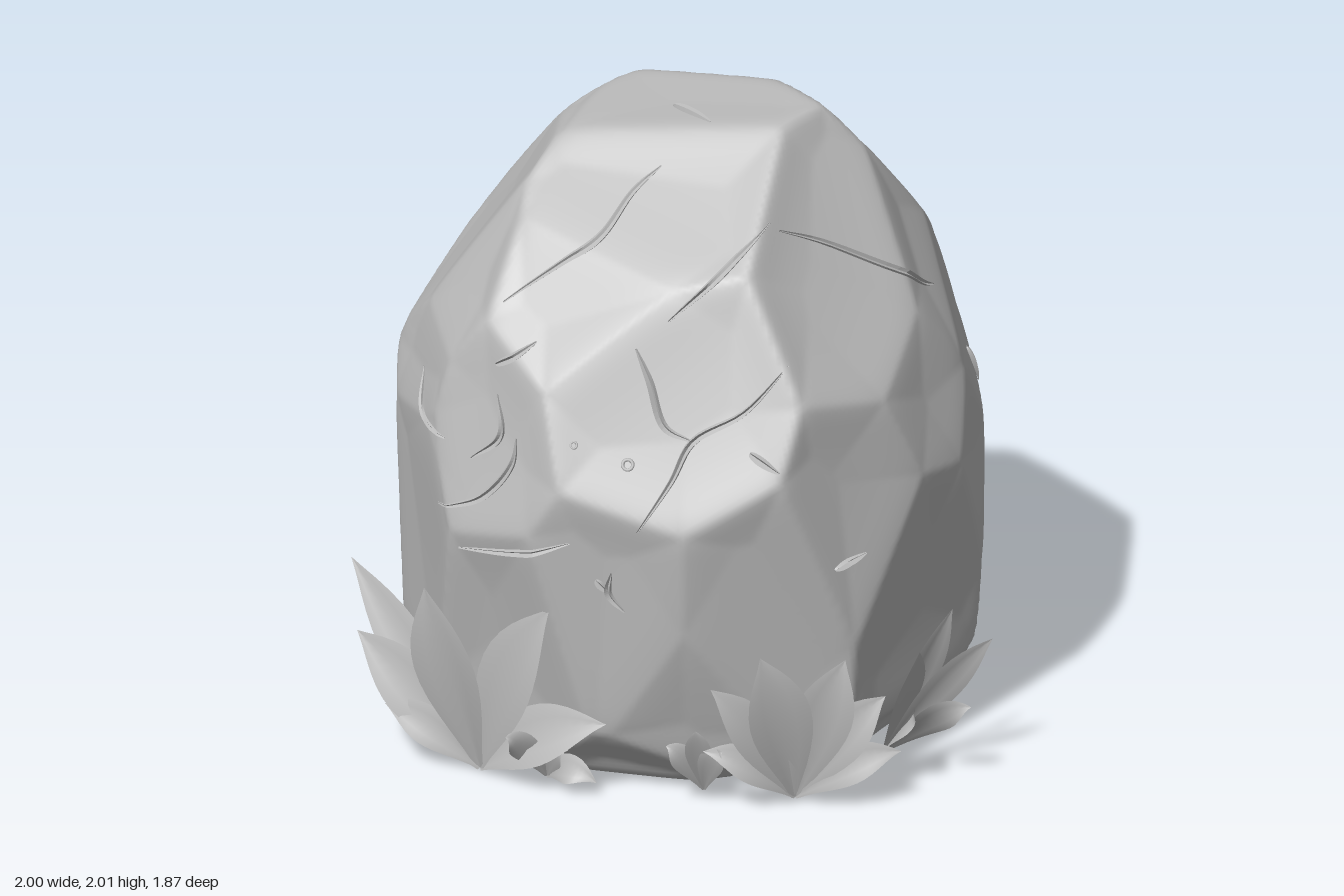
import * as THREE from 'three';
import { mergeVertices } from 'three/addons/utils/BufferGeometryUtils.js';

const V = (x, y, z) => new THREE.Vector3(x, y, z);
const CENTRE = V(-0.05, 0.95, 0);

// Facet planes that chip the boulder: { normal, distance from CENTRE, scoop depth }
const planes = [];
function facet(p, n, scoop = 0.03) {
  const normal = V(...n).normalize();
  planes.push({ normal, dist: normal.dot(V(...p).sub(CENTRE)), scoop });
}
// Rings of facets round the sides and back: height, radius, upward slope, azimuths
const rings = [
  [0.15, 0.81, -0.8, [0, 36, 74, 105, 140, 180, 216, 250, 288, 324]],
  [0.5, 0.88, -0.08, [72, 113]],
  [0.5, 0.885, -0.03, [155, 200, 243, 280]],
  [0.82, 0.92, 0.08, [93, 133, 178, 222, 262, 305]],
  [1.15, 0.865, 0.28, [76, 108, 143, 178, 215, 258, 297]],
  [1.4, 0.79, 0.5, [92, 160, 197, 237, 276]],
  [1.6, 0.67, 0.82, [138, 190, 238]],
  [1.88, 0.43, 1.5, [180, 265]],
];
for (const [y, r, slope, angles] of rings) {
  for (const a of angles) {
    const s = Math.sin(a * Math.PI / 180), c = Math.cos(a * Math.PI / 180);
    facet([CENTRE.x + r * s, y, CENTRE.z + r * c], [s, slope, c]);
  }
}
// Underside, crown, and the individual facets of the front and upper left
facet([0, 0.055, 0], [0, -1, -0.055], 0);
facet([0.3, 2.01, 0], [-0.1, 1, 0], 0.01);
[
  [[0, 1.855, 0.31], [-0.05, 0.82, 0.57]],
  [[0.56, 1.63, 0.16], [0.72, 0.56, 0.38]],
  [[-0.28, 1.6, 0.59], [-0.15, 0.65, 0.75]],
  [[-0.68, 1.58, 0], [-0.83, 0.58, 0.05]],
  [[-0.7, 1.45, 0.38], [-0.75, 0.5, 0.42]],
  [[0.15, 1.28, 0.78], [0.12, 0.42, 0.9]],
  [[-0.55, 1.1, 0.73], [-0.5, 0.22, 0.84]],
  [[0.67, 1.05, 0.53], [0.8, 0.12, 0.55]],
  [[-0.05, 0.75, 0.91], [-0.02, -0.1, 1]],
  [[0.42, 0.75, 0.8], [0.42, -0.1, 0.9]],
  [[-0.42, 0.5, 0.79], [-0.42, -0.2, 0.9]],
  [[0.25, 0.4, 0.83], [0.22, -0.25, 0.95]],
  [[-0.8, 0.6, 0.44], [-0.85, -0.04, 0.5]],
].forEach(([p, n]) => facet(p, n));

// Distance from CENTRE to the rock: softly joined facets, each scooped away from its edges
function radius(dir) {
  let r1 = 9, r2 = 9, depth = 0, sum = 0;
  for (const { normal, dist, scoop } of planes) {
    const k = normal.dot(dir);
    if (k < 0.05) continue;
    const t = dist / k;
    sum += Math.pow(t, -70);
    if (t < r1) { r2 = r1; r1 = t; depth = scoop; } else if (t < r2) r2 = t;
  }
  return Math.pow(sum, -1 / 70) - depth * (1 - Math.exp((r1 - r2) / 0.08));
}

function buildBoulder(material) {
  let g = new THREE.IcosahedronGeometry(1, 66);
  g.deleteAttribute('uv');
  g.deleteAttribute('normal');
  g = mergeVertices(g, 1e-5);
  const pos = g.attributes.position, d = V(0, 0, 0);
  for (let i = 0; i < pos.count; i++) {
    d.fromBufferAttribute(pos, i).normalize();
    d.multiplyScalar(radius(d)).add(CENTRE);
    pos.setXYZ(i, d.x, d.y, d.z);
  }
  g.computeVertexNormals();
  const mesh = new THREE.Mesh(g, material);
  mesh.name = 'boulder';
  return mesh;
}

// Find the rock surface by moving a point out along one axis
function project(p, axis, lift) {
  let lo = 0, hi = 1.3;
  const at = t => p.clone().addScaledVector(axis, t);
  for (let i = 0; i < 24; i++) {
    const mid = (lo + hi) / 2, q = at(mid).sub(CENTRE), len = q.length();
    if (len < radius(q.normalize())) lo = mid; else hi = mid;
  }
  return at(lo + lift);
}

// Strip or blade surface from rows of points
function gridGeometry(rows) {
  const pts = [], index = [], w = rows[0].length;
  rows.forEach((row, i) => row.forEach((p, j) => {
    pts.push(p.x, p.y, p.z);
    if (i && j) {
      const a = (i - 1) * w + j - 1, b = a + w;
      index.push(a, a + 1, b, a + 1, b + 1, b);
    }
  }));
  const g = new THREE.BufferGeometry();
  g.setAttribute('position', new THREE.Float32BufferAttribute(pts, 3));
  g.setIndex(index);
  g.computeVertexNormals();
  return g;
}

// Tapered V-shaped crack between two thin lips, laid on the rock along a flat path
function crack(path, toPoint, axis, material) {
  const curve = new THREE.CatmullRomCurve3(path.map(p => toPoint(...p)));
  const section = [[-1.3, 0], [-1, 1], [0, 0.1], [1, 1], [1.3, 0]];
  const rows = [], n = 24;
  for (let i = 0; i <= n; i++) {
    const t = i / n, side = curve.getTangent(t).cross(axis).normalize();
    const half = 0.002 + 0.007 * Math.sin(Math.PI * t);
    const p = curve.getPoint(t);
    rows.push(section.map(([s, h]) =>
      project(p.clone().addScaledVector(side, s * half), axis, 0.001 + h * 1.6 * half)));
  }
  const g = gridGeometry(rows).toNonIndexed();
  g.computeVertexNormals();
  const mesh = new THREE.Mesh(g, material);
  mesh.name = 'crack';
  return mesh;
}

// Pointed, folded leaf arching from base to tip
function leaf(base, tip, width, out, material) {
  const mid = base.clone().lerp(tip, 0.5).addScaledVector(out, 0.05).add(V(0, 0.07, 0));
  const curve = new THREE.QuadraticBezierCurve3(base, mid, tip);
  const rows = [];
  for (let i = 0; i <= 12; i++) {
    const t = i / 12, p = curve.getPoint(t), tan = curve.getTangent(t);
    const side = tan.clone().cross(out).normalize(), face = side.clone().cross(tan).normalize();
    const half = width / 2 * (0.12 * (1 - t) + Math.pow(Math.sin(Math.PI * t), 1.15));
    rows.push([-1, -0.5, 0, 0.5, 1].map(s => p.clone()
      .addScaledVector(side, s * half)
      .addScaledVector(face, half * (0.3 * Math.abs(s) - 0.15 * s * s))));
  }
  const mesh = new THREE.Mesh(gridGeometry(rows), material);
  mesh.name = 'leaf';
  return mesh;
}

export function createModel() {
  const grey = new THREE.MeshStandardMaterial({ color: 0xbcbcbc, side: THREE.DoubleSide });
  grey.name = 'stone grey';

  const model = new THREE.Group();
  model.name = 'boulderWithPlants';
  model.add(buildBoulder(grey));

  // Cracks on the front, the side and the crown
  const cracks = new THREE.Group();
  cracks.name = 'cracks';
  const X = V(1, 0, 0), Y = V(0, 1, 0), Z = V(0, 0, 1);
  const onFront = (x, y) => V(x, y, 0), onSide = (z, y) => V(0.1, y, z), onTop = (x, z) => V(x, 0.95, z);
  [
    [[-0.48, 1.53], [-0.3, 1.66], [-0.2, 1.73], [-0.14, 1.82], [-0.07, 1.88]],
    [[0.06, 1.55], [0.2, 1.68], [0.31, 1.79]],
    [[0.03, 0.95], [0.12, 1.1], [0.17, 1.21], [0.32, 1.3], [0.44, 1.44]],
    [[0.17, 1.21], [0.08, 1.25], [0.02, 1.38], [-0.03, 1.47]],
    [[0.35, 1.19], [0.45, 1.14]],
    [[-0.67, 0.86], [-0.5, 0.95], [-0.4, 1.08], [-0.39, 1.16]],
    [[-0.58, 0.76], [-0.35, 0.82], [-0.19, 0.88]],
    [[-0.48, 1.36], [-0.35, 1.45]],
    [[-0.78, 1.2], [-0.76, 1.1], [-0.65, 1.08]],
    [[-0.47, 1.27], [-0.45, 1.15], [-0.55, 1.05]],
    [[-0.06, 0.79], [-0.07, 0.72], [-0.02, 0.66]],
    [[-0.11, 0.76], [-0.07, 0.72]],
  ].forEach(path => cracks.add(crack(path, onFront, Z, grey)));
  [
    [[0.36, 1.76], [0.25, 1.69], [0.1, 1.55], [-0.02, 1.46], [-0.08, 1.43]],
    [[-0.36, 1.1], [-0.39, 0.98]],
    [[0.68, 0.78], [0.57, 0.8]],
  ].forEach(path => cracks.add(crack(path, onSide, X, grey)));
  cracks.add(crack([[-0.1, -0.03], [0.05, 0.1]], onTop, Y, grey));
  model.add(cracks);

  // Small rimmed pits
  for (const [x, y, r] of [[-0.02, 1.14, 0.016], [-0.19, 1.19, 0.01]]) {
    const pit = new THREE.Mesh(new THREE.TorusGeometry(r, r * 0.35, 8, 16), grey);
    pit.name = 'pit';
    pit.position.copy(project(V(x, y, 0), Z, 0));
    pit.lookAt(pit.position.clone().add(V(0.12, 0.42, 0.9)));
    model.add(pit);
  }

  // Leaf clusters: base, outward direction, then tip x, y, z and width of each leaf
  [
    ['largePlant', [-0.52, 0.01, 0.73], [-0.4, 0.35, 0.85], [
      [-1.0, 0.55, 0.46, 0.16], [-0.95, 0.36, 0.58, 0.19], [-0.68, 0.63, 0.8, 0.22],
      [-0.26, 0.64, 0.88, 0.22], [-0.08, 0.27, 0.88, 0.18], [-0.84, 0.16, 0.66, 0.12]]],
    ['middlePlant', [0.48, 0.02, 0.72], [0.4, 0.35, 0.85], [
      [0.4, 0.53, 0.84, 0.19], [0.25, 0.42, 0.87, 0.14], [0.64, 0.5, 0.72, 0.18],
      [0.75, 0.36, 0.65, 0.15], [0.8, 0.18, 0.65, 0.12], [0.22, 0.2, 0.85, 0.11]]],
    ['sidePlant', [0.68, 0.06, 0.42], [0.85, 0.35, 0.4], [
      [0.88, 0.53, 0.33, 0.12], [1.0, 0.43, 0.3, 0.12], [0.97, 0.26, 0.45, 0.11],
      [0.82, 0.45, 0.5, 0.12], [0.82, 0.25, 0.56, 0.1]]],
    ['sproutRight', [0.2, 0.03, 0.76], [0.1, 0.3, 0.95], [
      [0.1, 0.2, 0.84, 0.08], [0.2, 0.27, 0.86, 0.08], [0.28, 0.2, 0.84, 0.08]]],
    ['sproutLeft', [-0.3, 0.02, 0.76], [-0.1, 0.4, 0.9], [
      [-0.12, 0.05, 0.84, 0.09], [-0.4, 0.19, 0.88, 0.09], [-0.2, 0.17, 0.88, 0.09]]],
  ].forEach(([name, base, out, tips]) => {
    const plant = new THREE.Group();
    plant.name = name;
    const dir = V(...out).normalize();
    tips.forEach(([x, y, z, w]) => plant.add(leaf(V(...base), V(x, y, z), w, dir, grey)));
    model.add(plant);
  });
  return model;
}
